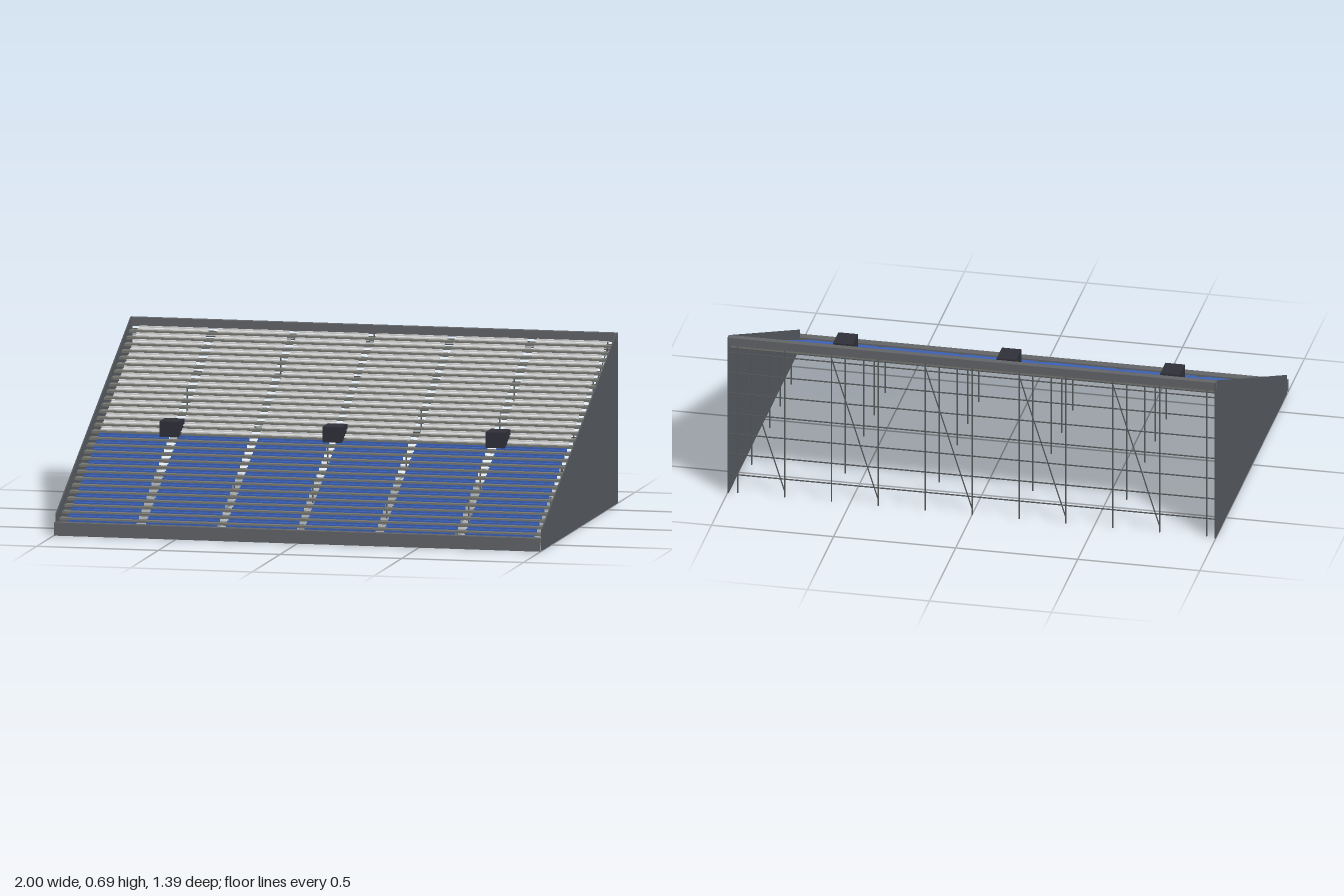
import * as THREE from 'three';
import { mergeGeometries } from 'three/addons/utils/BufferGeometryUtils.js';

const ROWS = 30, DEPTH = 0.0443, RISE = 0.0208, BLUE_ROWS = 14;
const rowZ = i => 0.66 - i * DEPTH;   // front edge of a tread
const rowY = i => 0.04 + i * RISE;    // top of a tread

const mat = (name, color) => {
  const m = new THREE.MeshStandardMaterial({ color });
  m.name = name;
  return m;
};

// Box from its minimum and maximum on each axis
function box(x0, x1, y0, y1, z0, z1) {
  return new THREE.BoxGeometry(x1 - x0, y1 - y0, z1 - z0)
    .translate((x0 + x1) / 2, (y0 + y1) / 2, (z0 + z1) / 2);
}

// Thin square bar between two points
function bar(a, b, size = 0.005) {
  const from = new THREE.Vector3(...a), to = new THREE.Vector3(...b);
  const dir = to.clone().sub(from);
  const q = new THREE.Quaternion().setFromUnitVectors(new THREE.Vector3(0, 1, 0), dir.clone().normalize());
  const mid = from.add(to).multiplyScalar(0.5);
  return new THREE.BoxGeometry(size, dir.length(), size)
    .applyQuaternion(q).translate(mid.x, mid.y, mid.z);
}

export function createModel() {
  const group = new THREE.Group();
  const concrete = mat('concrete grey', 0x75756f);
  const cladding = mat('dark cladding', 0x53575c);
  const trim = mat('trim grey', 0x616366);
  const blue = mat('blue seat', 0x3a60b4);
  const white = mat('white seat', 0xdcdcdc);
  const steel = mat('scaffold steel', 0x55585a);
  const dark = mat('dark box', 0x2e2f38);

  const add = (name, parts, material) => {
    const mesh = new THREE.Mesh(mergeGeometries(parts), material);
    mesh.name = name;
    group.add(mesh);
  };

  // Open treads, full width
  const treads = [];
  for (let i = 0; i < ROWS; i++) {
    treads.push(box(-0.995, 0.995, rowY(i) - 0.01, rowY(i), rowZ(i) - DEPTH - 0.002, rowZ(i)));
  }
  add('treads', treads, concrete);

  // Seat rows in six blocks between the aisles
  const blocks = [[0.017, 0.307], [0.343, 0.635], [0.675, 0.96]];
  const lower = [], upper = [];
  for (let i = 0; i < ROWS; i++) {
    const list = i < BLUE_ROWS ? lower : upper;
    const y = rowY(i), z = rowZ(i);
    for (const [a, b] of blocks) {
      for (const [x0, x1] of [[a, b], [-b, -a]]) {
        list.push(box(x0, x1, y + 0.004, y + 0.009, z - 0.028, z - 0.005));
        list.push(box(x0, x1, y, y + 0.016, z - 0.033, z - 0.027));
      }
    }
  }
  add('lowerSeats', lower, blue);
  add('upperSeats', upper, white);

  // Sloping side walls
  const profile = new THREE.Shape([
    [-0.665, 0], [0.695, 0], [0.695, 0.69], [0.67, 0.69], [-0.665, 0.085],
  ].map(p => new THREE.Vector2(...p)));
  const wall = x => new THREE.ExtrudeGeometry(profile, { depth: 0.005, bevelEnabled: false })
    .rotateY(Math.PI / 2).translate(x, 0, 0);
  add('sideWalls', [wall(0.995), wall(-1)], cladding);

  // Front barrier with a top lip, and the beam along the back edge
  add('frontBarrier', [
    box(-1, 1, 0, 0.053, 0.691, 0.695),
    box(-1, 1, 0.048, 0.053, 0.66, 0.691),
  ], trim);
  add('backBeam', [box(-1, 1, 0.655, 0.69, -0.695, -0.668)], trim);

  // Entrance boxes halfway up
  add('entranceBoxes', [-0.67, 0, 0.67].map(x => box(x - 0.04, x + 0.04, 0.32, 0.383, -0.03, 0.07)), dark);

  // Scaffold: posts under the slope, back ledgers and diagonal braces
  const frame = [];
  const under = z => 0.03 + (0.66 - z) * RISE / DEPTH;
  const postX = k => -0.96 + k * 0.192;
  [-0.685, -0.42, -0.07, 0.13, 0.34].forEach((z, r) => {
    for (let k = 0; k < 11; k += r === 0 ? 1 : 2) {
      frame.push(bar([postX(k), 0, z], [postX(k), under(z) - 0.01, z]));
    }
    frame.push(bar([-0.995, under(z) - 0.02, z], [0.995, under(z) - 0.02, z], 0.004));
  });
  for (let y = 0.08; y < 0.63; y += 0.09) {
    frame.push(bar([-0.995, y, -0.685], [0.995, y, -0.685], 0.004));
  }
  for (let k = 1; k < 10; k += 2) {
    frame.push(bar([postX(k), 0.02, -0.68], [postX(k + 1), 0.63, -0.68], 0.004));
  }
  add('scaffold', frame, steel);

  return group;
}
